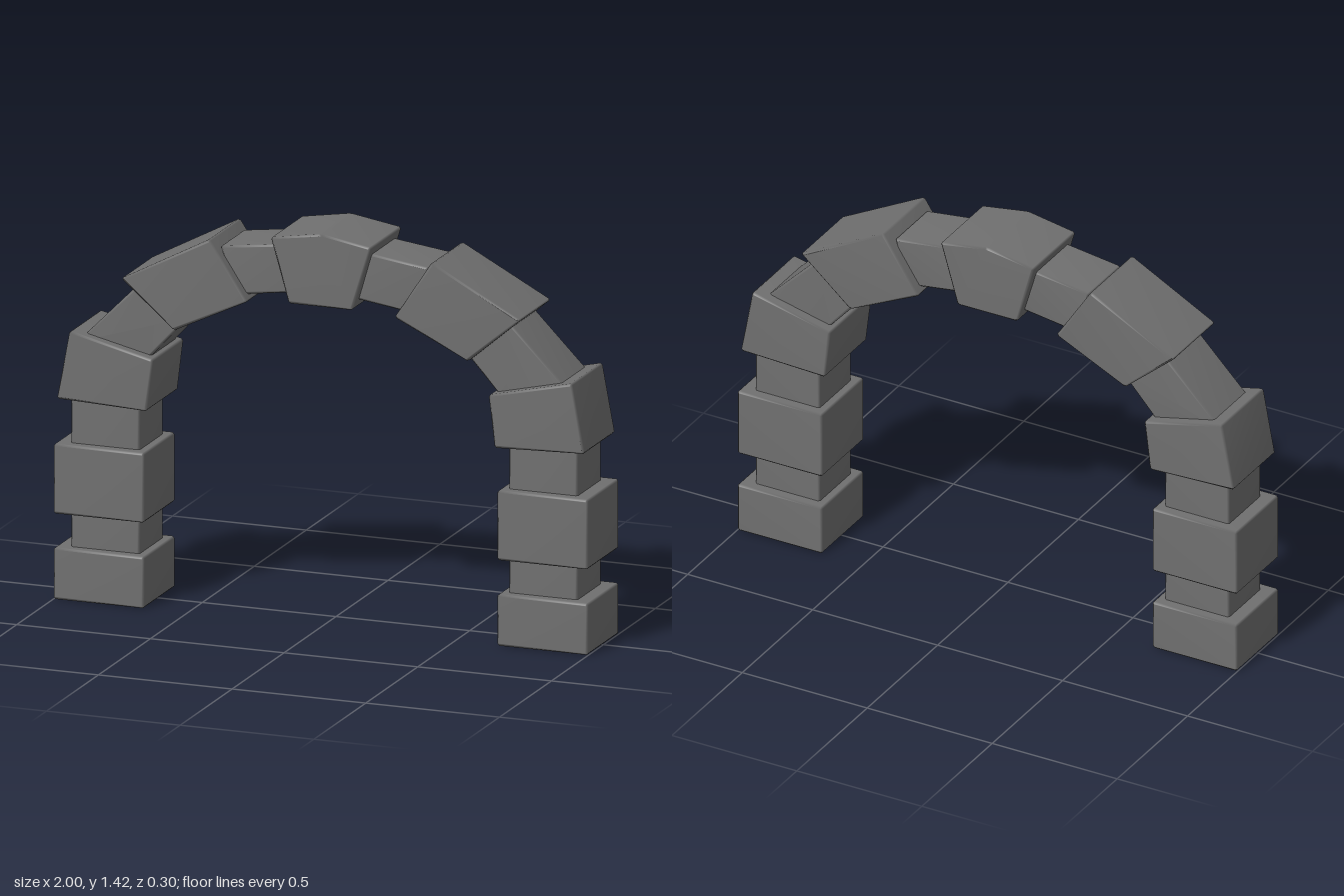
import * as THREE from 'three';
import { mergeVertices } from 'three/addons/utils/BufferGeometryUtils.js';

const BEVEL = 0.007;

// Cuts every corner of a profile by a short chamfer
function chamfer(points) {
  const out = [];
  points.forEach((p, i) => {
    const n = points.length;
    for (const q of [points[(i + n - 1) % n], points[(i + 1) % n]]) {
      out.push(p.clone().add(q.clone().sub(p).setLength(BEVEL)));
    }
  });
  return out;
}

// A stone: front profile extruded through the thickness, with worn edges
function stoneGeometry(profile, halfDepth, side) {
  const points = profile.map(([x, y]) => new THREE.Vector2(x * side, y));
  let geometry = new THREE.ExtrudeGeometry(new THREE.Shape(chamfer(points)), {
    depth: 2 * (halfDepth - BEVEL),
    bevelEnabled: true,
    bevelThickness: BEVEL,
    bevelSize: BEVEL,
    bevelOffset: -BEVEL,
    bevelSegments: 1,
  });
  geometry.translate(0, 0, -halfDepth + BEVEL);
  geometry.deleteAttribute('uv');
  geometry.deleteAttribute('normal');
  geometry = mergeVertices(geometry, 1e-5);
  geometry.computeVertexNormals();
  return geometry;
}

const rect = (x0, x1, y0, y1) => [[x0, y0], [x1, y0], [x1, y1], [x0, y1]];

export function createModel() {
  const arch = new THREE.Group();
  arch.name = 'stoneArch';
  const stone = new THREE.MeshStandardMaterial({ color: 0x707070 });
  stone.name = 'grey stone';

  const WIDE = 0.15;
  const NARROW = 0.114;
  const add = (name, profile, halfDepth, side = 1) => {
    const mesh = new THREE.Mesh(stoneGeometry(profile, halfDepth, side), stone);
    mesh.name = name;
    arch.add(mesh);
  };

  // Stones of one half, from the ground up
  const half = [
    ['BaseBlock', rect(0.66, 1, 0, 0.187), WIDE],
    ['LowerNeck', rect(0.69, 0.948, 0.15, 0.35), NARROW],
    ['PillarBlock', rect(0.66, 1, 0.31, 0.563), WIDE],
    ['UpperNeck', rect(0.69, 0.948, 0.52, 0.78), NARROW],
    ['Springer', [[0.65, 0.715], [0.987, 0.727], [0.94, 0.978], [0.627, 0.905]], WIDE],
    ['LowerArchNeck', [[0.69, 0.86], [0.925, 0.93], [0.66, 1.198], [0.51, 1.06]], NARROW],
    ['Haunch', [[0.55, 1.018], [0.747, 1.187], [0.415, 1.363], [0.275, 1.15]], WIDE],
    ['UpperArchNeck', [[0.34, 1.16], [0.39, 1.332], [0.13, 1.366], [0.1, 1.194]], NARROW],
  ];
  for (const [prefix, side] of [['left', 1], ['right', -1]]) {
    for (const [name, profile, depth] of half) add(prefix + name, profile, depth, side);
  }

  // Keystone with a peaked top
  add('keystone', [[-0.12, 1.16], [0.12, 1.16], [0.188, 1.393], [0, 1.424], [-0.188, 1.393]], WIDE);

  return arch;
}
